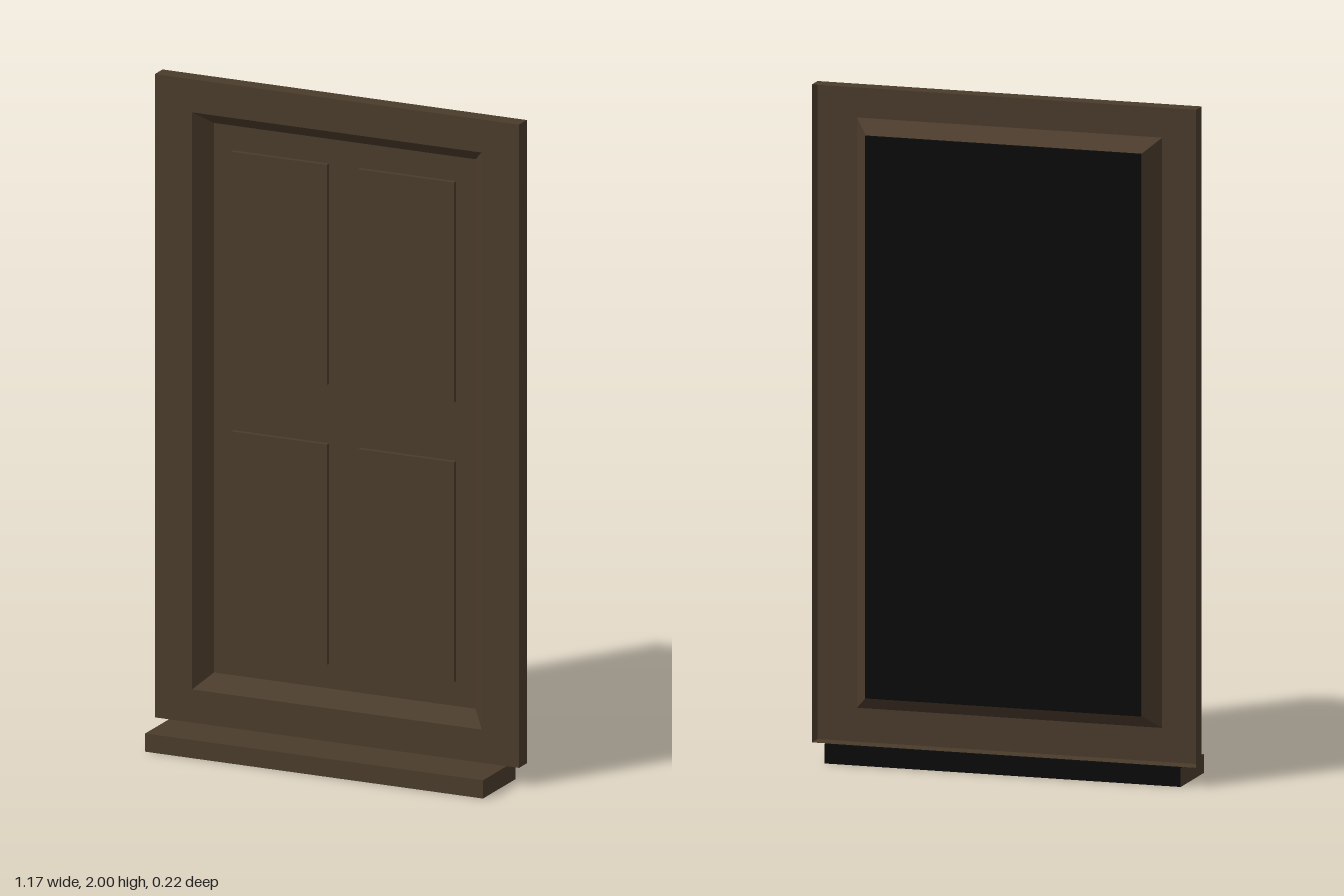
import * as THREE from 'three';

export function createModel() {
  const group = new THREE.Group();
  const wood = new THREE.MeshStandardMaterial({ color: 0x4b3c2c, side: THREE.DoubleSide });
  wood.name = 'darkWood';
  const black = new THREE.MeshStandardMaterial({ color: 0x0a0a0a });
  black.name = 'blackBacking';

  const add = (name, geometry, material, x, y, z) => {
    const mesh = new THREE.Mesh(geometry, material);
    mesh.name = name;
    mesh.position.set(x, y, z);
    group.add(mesh);
    return mesh;
  };

  // Flat-sided shell joining successive rectangles [halfWidth, bottom, top, z]
  const rectangleShell = (sections) => {
    const loops = sections.map(([w, b, t, z]) => [[-w, b, z], [w, b, z], [w, t, z], [-w, t, z]]);
    const points = [];
    for (let s = 0; s < loops.length - 1; s++) {
      for (let i = 0; i < 4; i++) {
        const j = (i + 1) % 4, a = loops[s], b = loops[s + 1];
        points.push(...a[i], ...a[j], ...b[j], ...a[i], ...b[j], ...b[i]);
      }
    }
    const geometry = new THREE.BufferGeometry();
    geometry.setAttribute('position', new THREE.Float32BufferAttribute(points, 3));
    geometry.computeVertexNormals();
    return geometry;
  };

  // Hollow frame: outer rim, front face, then the bevel down to the door
  const front = -0.044, back = -0.096;
  add('frame', rectangleShell([
    [0.585, 0.057, 2, back],
    [0.585, 0.057, 2, front],
    [0.465, 0.157, 1.9, front],
    [0.42, 0.2, 1.86, back],
  ]), wood, 0, 0, 0);

  // Door face with its black backing
  const doorHeight = 1.66, doorY = 1.03;
  add('doorFace', new THREE.PlaneGeometry(0.84, doorHeight), wood, 0, doorY, back);
  add('doorBacking', new THREE.BoxGeometry(0.84, doorHeight, 0.011), black, 0, doorY, -0.1025);

  // Four raised door panels
  for (const x of [-0.204, 0.204]) {
    for (const y of [0.608, 1.453]) {
      add('doorPanel', new THREE.BoxGeometry(0.308, 0.665, 0.015), wood, x, y, back + 0.0075);
    }
  }

  // Sill with a black back face and a black strip behind the frame
  add('sill', new THREE.BoxGeometry(1.085, 0.055, 0.216),
    [wood, wood, wood, wood, wood, black], 0, 0.0275, 0);
  add('sillBackStrip', new THREE.BoxGeometry(1.085, 0.002, 0.011), black, 0, 0.056, -0.1025);

  return group;
}
